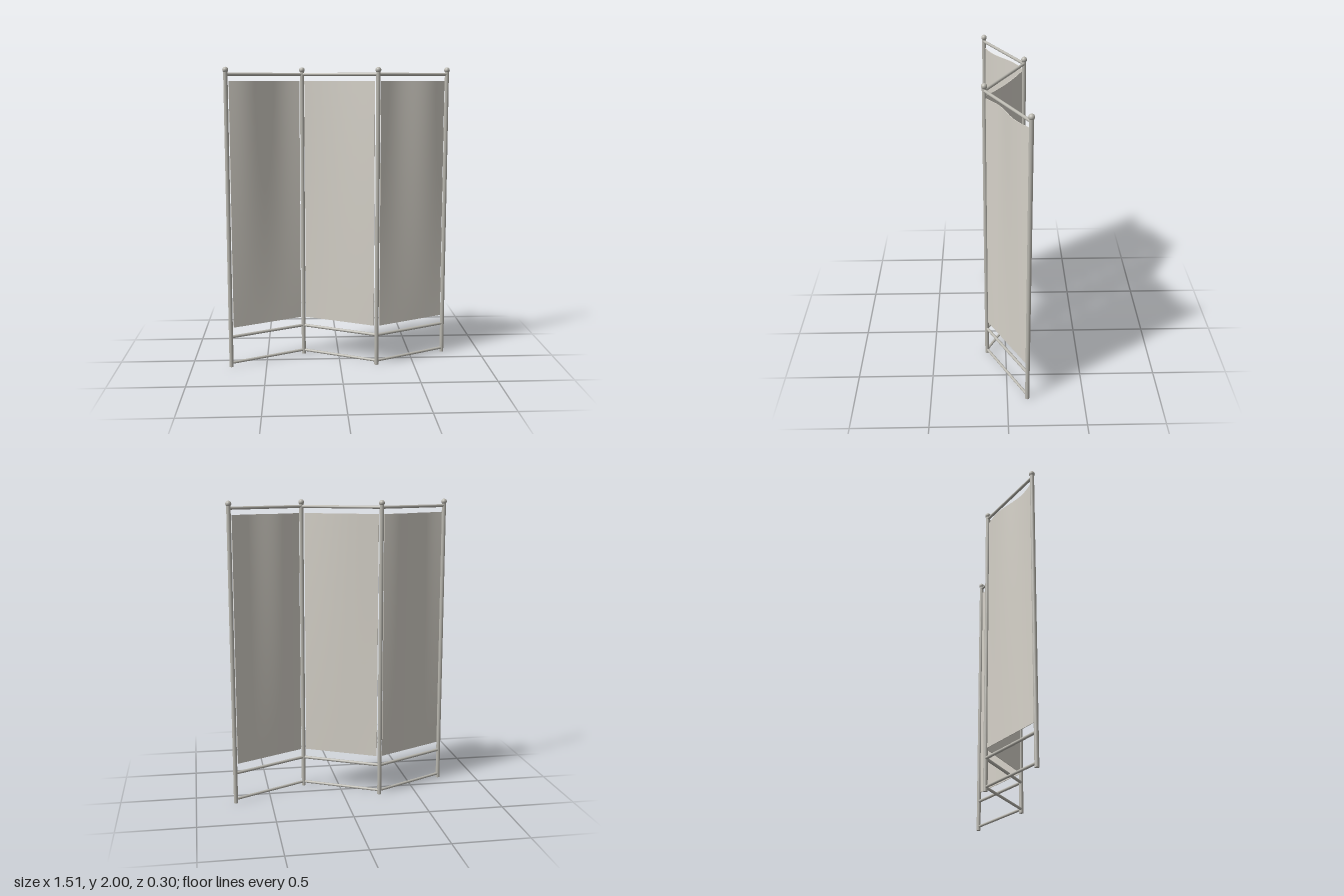
import * as THREE from 'three';

export function createModel() {
  const root = new THREE.Group();
  root.name = 'foldingScreen';

  const metal = new THREE.MeshStandardMaterial({ color: 0xbab8b0 });
  metal.name = 'metal frame';
  const cloth = new THREE.MeshStandardMaterial({ color: 0xd5d1c8 });
  cloth.name = 'cloth';

  const add = (parent, name, geometry, material, x, y, z) => {
    const mesh = new THREE.Mesh(geometry, material);
    mesh.name = name;
    mesh.position.set(x, y, z);
    parent.add(mesh);
    return mesh;
  };

  // Zigzag of four posts with ball finials
  const posts = [[-0.737, 0.13], [-0.246, -0.13], [0.246, 0.13], [0.737, -0.13]];
  const postGeo = new THREE.CylinderGeometry(0.014, 0.014, 1.97, 20);
  const ballGeo = new THREE.SphereGeometry(0.019, 24, 16);
  for (const [x, z] of posts) {
    add(root, 'post', postGeo, metal, x, 0.985, z);
    add(root, 'finial', ballGeo, metal, x, 1.981, z);
  }

  // Cloth sheet with a gentle wave that fades toward the hem
  const clothGeometry = (width, height, wave) => {
    const geo = new THREE.BoxGeometry(width, height, 0.004, 40, 20, 1);
    const p = geo.attributes.position;
    for (let i = 0; i < p.count; i++) {
      const u = p.getX(i) / width + 0.5;
      const v = p.getY(i) / height + 0.5;
      p.setZ(i, p.getZ(i) + wave(u) * v);
    }
    geo.computeVertexNormals();
    return geo;
  };
  const waves = [
    (u) => 0.015 * Math.sin(2 * Math.PI * u),
    (u) => 0.005 - 0.017 * Math.sin(Math.PI * u),
    (u) => -0.015 * Math.sin(2 * Math.PI * u),
  ];

  // Three panels: rails and cloth, each in its own rotated group
  const rails = [['topRail', 1.953, 0.01], ['middleRail', 0.208, 0.01], ['bottomRail', 0.027, 0.009]];
  for (let i = 0; i < 3; i++) {
    const [x0, z0] = posts[i];
    const [x1, z1] = posts[i + 1];
    const span = Math.hypot(x1 - x0, z1 - z0);
    const panel = new THREE.Group();
    panel.name = 'panel';
    panel.position.set((x0 + x1) / 2, 0, (z0 + z1) / 2);
    panel.rotation.y = -Math.atan2(z1 - z0, x1 - x0);
    root.add(panel);
    for (const [name, y, r] of rails) {
      add(panel, name, new THREE.CylinderGeometry(r, r, span, 16), metal, 0, y, 0).rotation.z = Math.PI / 2;
    }
    add(panel, 'clothPanel', clothGeometry(span - 0.042, 1.64, waves[i]), cloth, 0, 1.09, 0);
  }
  return root;
}
